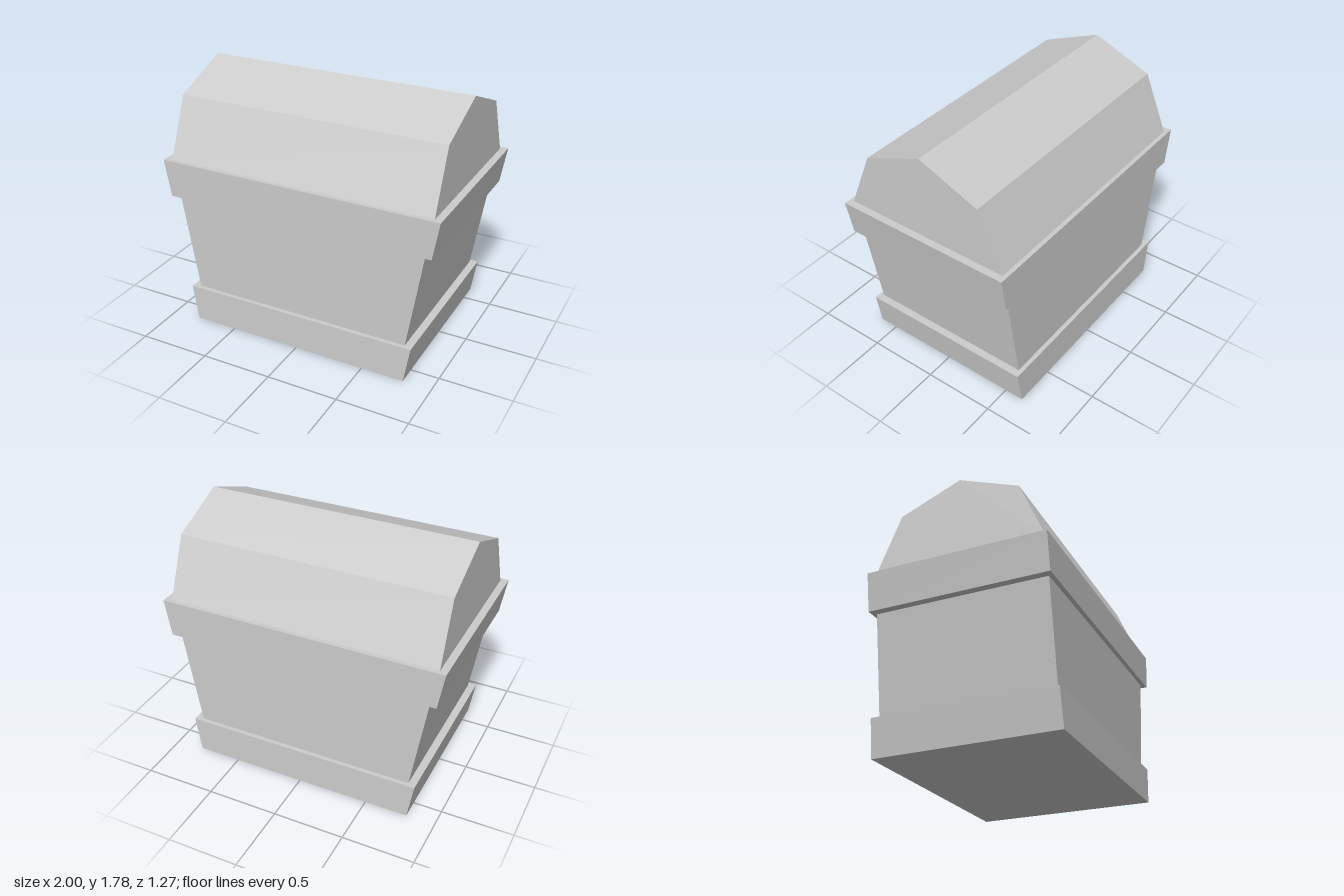
import * as THREE from 'three';

const material = new THREE.MeshStandardMaterial({ color: 0xcccccc, flatShading: true });

// Box whose half width and half depth change from bottom to top
function taperedBox(name, y0, y1, bottom, top) {
  const geo = new THREE.BoxGeometry(2, y1 - y0, 2);
  geo.translate(0, (y0 + y1) / 2, 0);
  const pos = geo.attributes.position;
  const middle = (y0 + y1) / 2;
  for (let i = 0; i < pos.count; i++) {
    const [hx, hz] = pos.getY(i) > middle ? top : bottom;
    pos.setX(i, pos.getX(i) * hx);
    pos.setZ(i, pos.getZ(i) * hz);
  }
  geo.computeVertexNormals();
  const mesh = new THREE.Mesh(geo, material);
  mesh.name = name;
  return mesh;
}

// Faceted lid: a five-sided end profile run along the width
function lid() {
  const profile = [[-0.6, 1.203], [0.6, 1.203], [0.425, 1.612], [0, 1.782], [-0.425, 1.612]];
  const shape = new THREE.Shape(profile.map(([z, y]) => new THREE.Vector2(z, y)));
  const geo = new THREE.ExtrudeGeometry(shape, { depth: 1.9, bevelEnabled: false });
  geo.translate(0, 0, -0.95);
  geo.rotateY(Math.PI / 2);
  const mesh = new THREE.Mesh(geo, material);
  mesh.name = 'lid';
  return mesh;
}

export function createModel() {
  const chest = new THREE.Group();
  chest.name = 'chest';
  chest.add(
    // Lower band, flaring body and upper rim
    taperedBox('baseBand', 0, 0.255, [0.8, 0.635], [0.843, 0.63]),
    taperedBox('body', 0.255, 0.943, [0.79, 0.6], [0.903, 0.6]),
    taperedBox('rimBand', 0.943, 1.203, [0.955, 0.63], [1, 0.63]),
    lid()
  );
  return chest;
}
